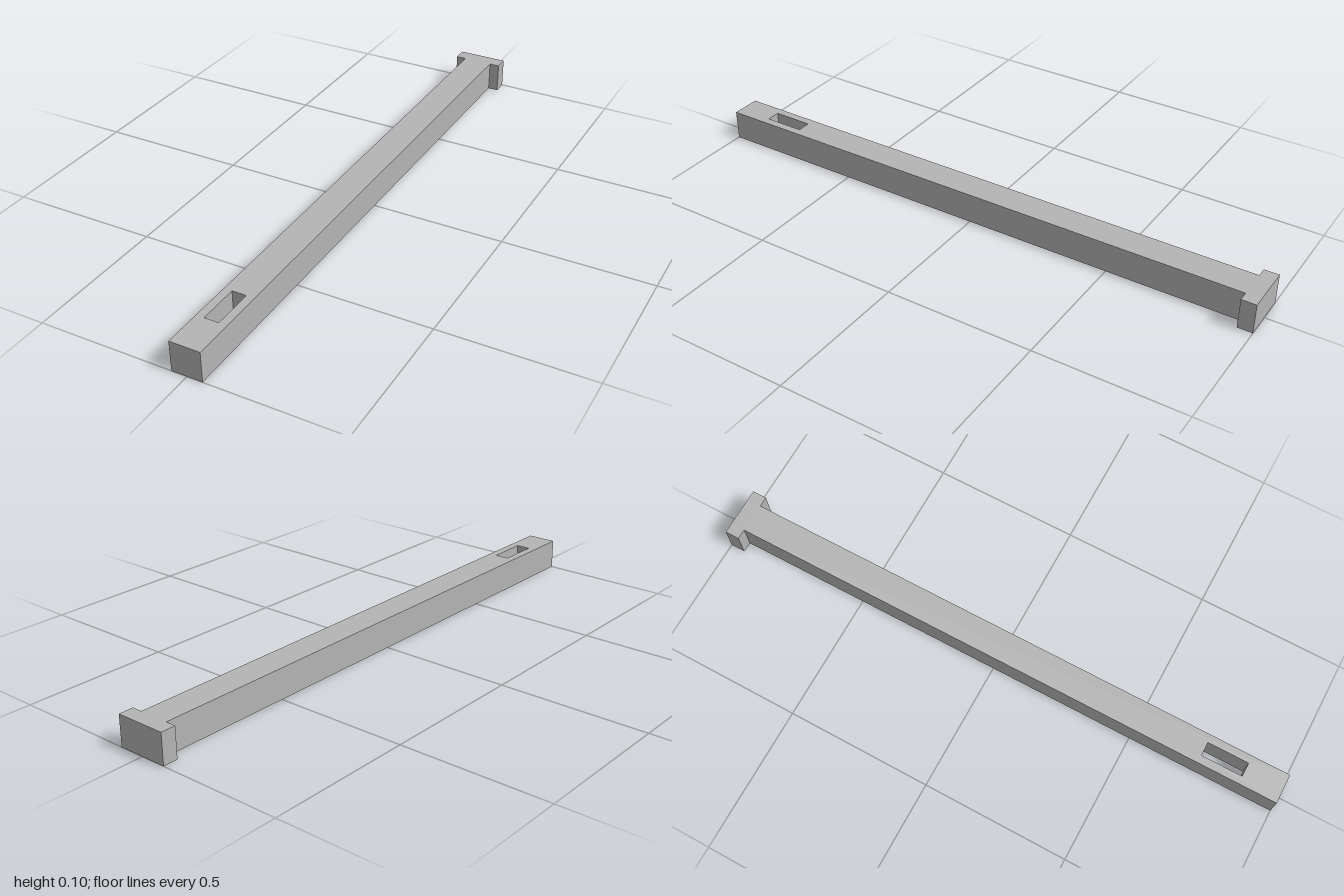
import * as THREE from 'three';

const HEIGHT = 0.103;
const SHAFT = 0.051;  // half width of the shaft
const HEAD = 0.086;   // half width of the head
const NECK = -0.95;   // z where the head meets the shaft
const SLOT = { half: 0.024, back: 0.73, front: 0.87 };

// Outline points are given as [x, z]; the shape's y is -z
const toPoints = (list) => list.map(([x, z]) => new THREE.Vector2(x, -z));

export function createModel() {
  const group = new THREE.Group();
  group.name = 'slottedPin';

  const grey = new THREE.MeshStandardMaterial({ color: 0xb4b4b4 });
  grey.name = 'grey';

  // T-shaped outline: long square shaft with a wider head at the back
  const outline = new THREE.Shape(toPoints([
    [-SHAFT, 1], [SHAFT, 1], [SHAFT, NECK], [HEAD, NECK],
    [HEAD, -1], [-HEAD, -1], [-HEAD, NECK], [-SHAFT, NECK],
  ]));

  // Wedge slot running right through near the front end
  outline.holes.push(new THREE.Path(toPoints([
    [-SLOT.half, SLOT.front], [-SLOT.half, SLOT.back],
    [SLOT.half, SLOT.back], [SLOT.half, SLOT.front],
  ])));

  const geometry = new THREE.ExtrudeGeometry(outline, { depth: HEIGHT, bevelEnabled: false });
  geometry.rotateX(-Math.PI / 2);

  const pin = new THREE.Mesh(geometry, grey);
  pin.name = 'shaftWithHead';
  group.add(pin);
  return group;
}
